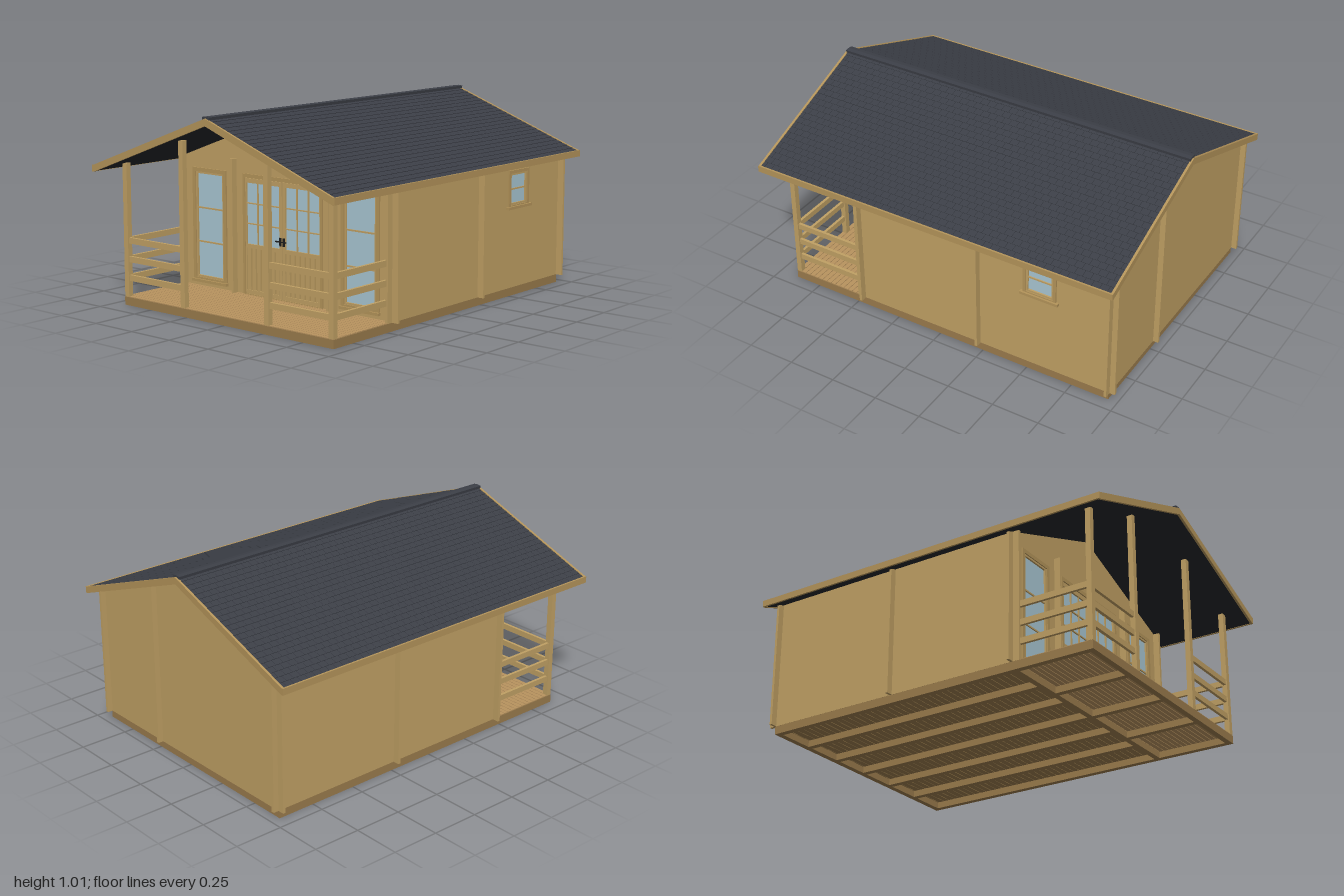
import * as THREE from 'three';
import { mergeGeometries } from 'three/addons/utils/BufferGeometryUtils.js';

const mat = (color, extra = {}) => new THREE.MeshStandardMaterial({ color, ...extra });
const wood = mat(0xc0a064), trim = mat(0xb4945a), frameWood = mat(0x9a7b4c), deckWood = mat(0xb8935f);
const slate = mat(0x3c3f47), soffit = mat(0x24262b), glass = mat(0xa9c7d3), metal = mat(0x1c1c1c);

const SLOPE = 0.37, ANGLE = Math.atan(SLOPE);
const EAVE = 0.775;
const underRoof = (x) => 0.967 - SLOPE * Math.abs(x);

export function createModel() {
  const root = new THREE.Group();
  root.name = 'gardenCabin';

  const add = (name, geometry, material, parent = root) => {
    const mesh = new THREE.Mesh(geometry, material);
    mesh.name = name;
    parent.add(mesh);
    return mesh;
  };
  // Box given by its limits on each axis
  const boxGeo = (x0, x1, y0, y1, z0, z1) =>
    new THREE.BoxGeometry(x1 - x0, y1 - y0, z1 - z0).translate((x0 + x1) / 2, (y0 + y1) / 2, (z0 + z1) / 2);
  const box = (name, material, lim, parent) => add(name, boxGeo(...lim), material, parent);
  const rect = (Type, x0, x1, y0, y1) => new Type([[x0, y0], [x1, y0], [x1, y1], [x0, y1]].map((p) => new THREE.Vector2(...p)));
  const extrude = (shape, z0, z1) =>
    new THREE.ExtrudeGeometry(shape, { depth: z1 - z0, bevelEnabled: false }).translate(0, 0, z0);
  const group = (name) => {
    const g = new THREE.Group();
    g.name = name;
    root.add(g);
    return g;
  };

  // Foundation frame and joists
  const base = group('foundation');
  for (const s of [-1, 1]) box('sideBeam', frameWood, [s * 0.67 - 0.015, s * 0.67 + 0.015, 0, 0.042, -0.95, 0.89], base);
  for (const z of [-0.935, 0.47, 0.875]) box('crossBeam', frameWood, [-0.66, 0.66, 0, 0.042, z - 0.015, z + 0.015], base);
  for (let i = 1; i <= 5; i++) {
    const x = -0.67 + i * 1.34 / 6;
    box('houseJoist', frameWood, [x - 0.015, x + 0.015, 0, 0.036, -0.92, 0.455], base);
  }
  for (let i = 1; i <= 3; i++) {
    const x = -0.67 + i * 1.34 / 4;
    box('porchJoist', frameWood, [x - 0.015, x + 0.015, 0, 0.036, 0.485, 0.86], base);
  }
  // Floor boards, inside and on the porch
  const boards = (z0, z1, n) => {
    const w = (z1 - z0) / n, list = [];
    for (let i = 0; i < n; i++) list.push(boxGeo(-0.683, 0.683, 0.034, 0.046, z0 + i * w + 0.0015, z0 + (i + 1) * w - 0.0015));
    return mergeGeometries(list);
  };
  add('houseFloor', boards(-0.95, 0.46, 40), frameWood);
  add('porchDeck', boards(0.46, 0.89, 16), deckWood);

  // Gabled cross walls, with ends crossing past the side walls
  const gableWall = (name, z0, z1, holes) => {
    const shape = new THREE.Shape([[-0.72, 0.042], [0.72, 0.042], [0.72, underRoof(0.72)], [0, underRoof(0)],
      [-0.72, underRoof(0.72)]].map((p) => new THREE.Vector2(...p)));
    holes.forEach((h) => shape.holes.push(rect(THREE.Path, ...h)));
    add(name, extrude(shape, z0, z1), wood);
  };
  gableWall('frontWall', 0.453, 0.467, [[-0.59, -0.4, 0.085, 0.64], [0.4, 0.59, 0.085, 0.64], [-0.25, 0.25, 0.05, 0.645]]);
  gableWall('partitionWall', -0.237, -0.224, []);
  gableWall('backWall', -0.957, -0.944, []);

  // Side walls, the one on +x with a window opening
  for (const s of [-1, 1]) {
    const shape = rect(THREE.Shape, -0.985, 0.5, 0.042, underRoof(0.685));
    if (s > 0) shape.holes.push(rect(THREE.Path, -0.645, -0.495, 0.475, 0.645));
    const geo = extrude(shape, -0.0075, 0.0075).rotateY(-Math.PI / 2).translate(s * 0.678, 0, 0);
    add('sideWall', geo, wood);
  }
  // Inner wall showing on the back, and short wall ends on the front
  box('rearPartition', wood, [0.222, 0.236, 0.042, underRoof(0.236), -0.985, -0.23]);
  for (const x of [-0.314, 0.314]) box('wallEnd', wood, [x - 0.006, x + 0.006, 0.042, 0.73, 0.42, 0.5]);

  // Framed window in the xy plane, facing +z
  const makeWindow = (name, w, h, border, bars, reach) => {
    const g = group(name);
    const outer = rect(THREE.Shape, -w / 2, w / 2, -h / 2, h / 2);
    outer.holes.push(rect(THREE.Path, -w / 2 + border, w / 2 - border, -h / 2 + border, h / 2 - border));
    add('windowTrim', extrude(outer, -0.015, 0.008), trim, g);
    const a = w / 2 - border, b = h / 2 - border, inner = rect(THREE.Shape, -a, a, -b, b);
    inner.holes.push(rect(THREE.Path, -a + 0.01, a - 0.01, -b + 0.01, b - 0.01));
    add('windowSash', extrude(inner, -0.015, 0.003), wood, g);
    box('glassPane', glass, [-a, a, -b, b, -0.01, -0.006], g);
    for (const t of bars) box('glazingBar', wood, [-a, a, t * 2 * b - b - 0.004, t * 2 * b - b + 0.004, -0.012, 0], g);
    box('windowSill', trim, [-w / 2 - reach, w / 2 + reach, -h / 2 - 0.004, -h / 2 + 0.01, -0.01, 0.018], g);
    return g;
  };
  for (const x of [-0.495, 0.495]) makeWindow('frontWindow', 0.235, 0.59, 0.02, [0.34, 0.66], 0.004).position.set(x, 0.365, 0.467);
  const small = makeWindow('sideWindow', 0.18, 0.195, 0.016, [0.5], 0.014);
  small.position.set(0.686, 0.555, -0.57);
  small.rotation.y = Math.PI / 2;

  // Door frame and pair of half-glazed doors
  const doors = group('doubleDoor');
  const surround = rect(THREE.Shape, -0.262, 0.262, 0.045, 0.66);
  surround.holes.push(rect(THREE.Path, -0.247, 0.247, 0.05, 0.64));
  add('doorFrame', extrude(surround, 0.45, 0.474), trim, doors);
  for (const s of [-1, 1]) {
    const lo = (a, b) => (s > 0 ? [a, b] : [-b, -a]);
    const leaf = rect(THREE.Shape, ...lo(0.002, 0.247), 0.05, 0.638);
    leaf.holes.push(rect(THREE.Path, ...lo(0.02, 0.24), 0.305, 0.615), rect(THREE.Path, ...lo(0.018, 0.24), 0.07, 0.285));
    add('doorLeaf', extrude(leaf, 0.453, 0.47), wood, doors);
    box('doorGlass', glass, [...lo(0.015, 0.245), 0.3, 0.62, 0.457, 0.461], doors);
    box('doorPanel', trim, [...lo(0.015, 0.245), 0.065, 0.29, 0.455, 0.462], doors);
    for (let i = 1; i <= 2; i++) {
      const x = 0.02 + i * 0.22 / 3, y = 0.305 + i * 0.31 / 3;
      box('doorBar', wood, [...lo(x - 0.003, x + 0.003), 0.305, 0.615, 0.456, 0.468], doors);
      box('doorBar', wood, [...lo(0.02, 0.24), y - 0.003, y + 0.003, 0.456, 0.468], doors);
    }
    for (let i = 0; i < 7; i++) {
      const x = 0.034 + i * 0.032;
      box('doorSlat', wood, [...lo(x - 0.011, x + 0.011), 0.07, 0.285, 0.46, 0.467], doors);
    }
    box('doorPlate', metal, [...lo(0.006, 0.017), 0.32, 0.362, 0.469, 0.474], doors);
    box('doorHandle', metal, [...lo(0.008, 0.035), 0.34, 0.346, 0.478, 0.484], doors);
    box('handleStem', metal, [...lo(0.008, 0.014), 0.34, 0.346, 0.472, 0.48], doors);
  }

  // Porch posts and railings
  const porch = group('porch');
  for (const s of [-1, 1]) {
    for (const x of [0.67, 0.275]) {
      box('porchPost', wood, [s * x - 0.0145, s * x + 0.0145, 0.044, underRoof(x), 0.862, 0.889], porch);
    }
    for (const y of [0.14, 0.235, 0.33]) {
      box('frontRail', wood, [Math.min(s * 0.29, s * 0.656), Math.max(s * 0.29, s * 0.656), y - 0.015, y + 0.015, 0.868, 0.883], porch);
      box('sideRail', wood, [s * 0.67 - 0.0075, s * 0.67 + 0.0075, y - 0.015, y + 0.015, 0.49, 0.868], porch);
    }
  }

  // Roof boarding as one folded slab
  const chevron = (top, bottom, reach) => new THREE.Shape([[0, top], [-reach, top - SLOPE * reach],
    [-reach, bottom - SLOPE * reach], [0, bottom], [reach, bottom - SLOPE * reach], [reach, top - SLOPE * reach]]
    .map((p) => new THREE.Vector2(...p)));
  const roof = group('roof');
  add('roofBoarding', extrude(chevron(0.989, 0.968, EAVE), -0.988, 0.988), soffit, roof);
  for (const z of [-1, 0.988]) add('bargeBoard', extrude(chevron(1.0, 0.965, EAVE), z, z + 0.012), trim, roof);

  // Staggered shingles, slightly tilted so the courses overlap
  const COURSES = 24, TILES = 48, run = EAVE / Math.cos(ANGLE) / COURSES, width = 1.976 / TILES;
  for (const s of [-1, 1]) {
    const list = [];
    for (let c = 0; c < COURSES; c++) {
      const x = (c + 0.5) * run * Math.cos(ANGLE);
      const shift = c % 2 ? 0.5 : 0;
      for (let t = 0; t < TILES + (shift ? 1 : 0); t++) {
        const z0 = Math.max(-0.988, -0.988 + (t - shift) * width);
        const z1 = Math.min(0.988, -0.988 + (t + 1 - shift) * width);
        list.push(boxGeo(-run * 0.5, run * 0.5, -0.004, 0.003, z0 + 0.001, z1 - 0.001)
          .rotateZ(-s * (ANGLE - 0.08)).translate(s * x, 0.9945 - SLOPE * x, 0));
      }
    }
    add('shingles', mergeGeometries(list), slate, roof);
    // Eave board and ridge cap half
    box('eaveBoard', trim, [s * 0.778 - 0.005, s * 0.778 + 0.005, 0.68, 0.713, -1, 1], roof);
    add('ridgeCap', new THREE.BoxGeometry(0.024, 0.014, 1.985).rotateZ(-s * 0.12).translate(s * 0.011, 1.001, 0), slate, roof);
  }
  return root;
}
